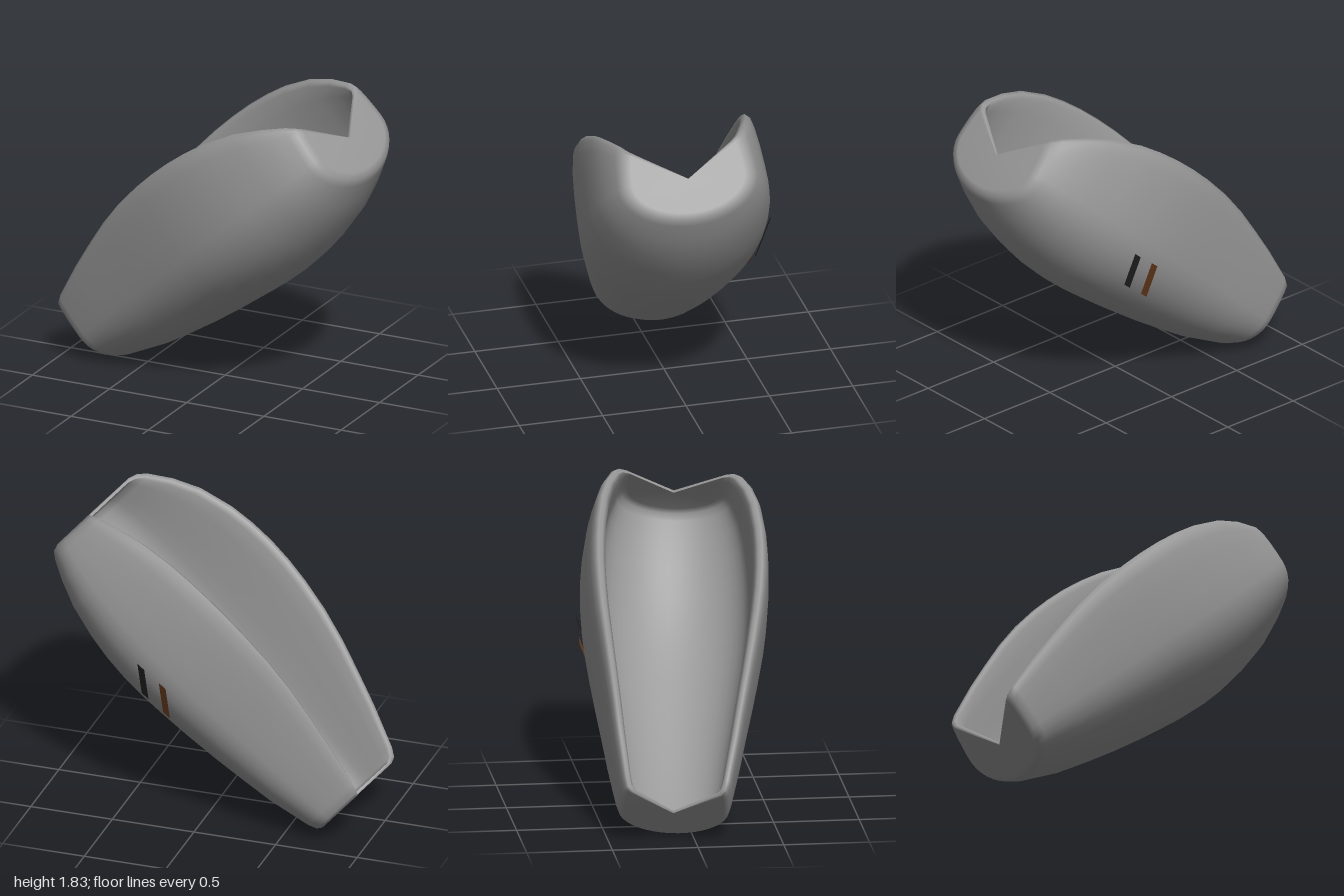
import * as THREE from 'three';

// Frame of the shell: along its length, towards the open side, across
const along = new THREE.Vector3(0.75, 0.66, 0.09);
const open = new THREE.Vector3(-0.66, 0.75, 0);
const across = new THREE.Vector3(-0.067, -0.06, 1);
const middle = new THREE.Vector3(0, 0.903, -0.024);

// Stations: position along, half width, depth of the bottom, height of the rim.
// The zero-size ends close the caps, leaving a V notch at each opening.
const stations = [
  [-1.115, 0, 0, 0],
  [-1.117, 0.29, 0.205, 0.212],
  [-1.1, 0.318, 0.233, 0.24],
  [-1.05, 0.334, 0.26, 0.265],
  [-0.8, 0.383, 0.333, 0.345],
  [-0.6, 0.417, 0.37, 0.4],
  [-0.4, 0.453, 0.402, 0.45],
  [-0.2, 0.487, 0.427, 0.485],
  [0, 0.517, 0.447, 0.503],
  [0.15, 0.533, 0.459, 0.508],
  [0.3, 0.542, 0.463, 0.505],
  [0.45, 0.542, 0.455, 0.492],
  [0.6, 0.533, 0.434, 0.468],
  [0.8, 0.506, 0.388, 0.411],
  [0.95, 0.466, 0.328, 0.338],
  [1.07, 0.412, 0.27, 0.262],
  [1.11, 0.38, 0.245, 0.222],
  [1.124, 0.33, 0.205, 0.188],
  [1.124, 0, 0, 0],
];

const INNER = 0.8; // inner wall size relative to the outer wall
const INNER_LENGTH = 0.985;

// Half of a U wall, from the rim down to just before the bottom
function halfWall(rim, size) {
  const half = rim.slice();
  for (let k = 0; k < 10; k++) {
    const a = (k / 10) * Math.PI / 2;
    half.push([size * Math.cos(a), -size * Math.sin(a)]);
  }
  return half;
}

// Full U wall with its mirrored half
function fullWall(rim, size, length) {
  const half = halfWall(rim, size);
  const mirrored = half.map(([z, n]) => [-z, n]).reverse();
  return [...half, [0, -size], ...mirrored].map(([z, n]) => [z, n, length]);
}

// Closed unit section: outer wall, rounded rim, inner wall back again
function unitSection() {
  const outer = fullWall(
    [[0.875, 1], [0.92, 0.95], [0.95, 0.8], [0.975, 0.55], [0.993, 0.25]], 1, 1);
  const inner = fullWall(
    [[0.83, 0.985], [0.795, 0.92], [0.79, 0.7], [0.795, 0.4], [0.8, 0.2]], INNER, INNER_LENGTH);
  return [...outer, ...inner.reverse()];
}

function shellGeometry() {
  const section = unitSection();
  const cols = section.length;
  const positions = [];
  const index = [];
  for (const [s, width, depth, rim] of stations) {
    for (const [z, n, length] of section) {
      const p = middle.clone()
        .addScaledVector(along, s * length)
        .addScaledVector(open, n * (n < 0 ? depth : rim))
        .addScaledVector(across, z * width);
      positions.push(p.x, p.y, p.z);
    }
  }
  for (let i = 0; i < stations.length - 1; i++) {
    for (let j = 0; j < cols; j++) {
      const a = i * cols + j;
      const b = i * cols + (j + 1) % cols;
      index.push(a, b, a + cols, b, b + cols, a + cols);
    }
  }
  const geometry = new THREE.BufferGeometry();
  geometry.setAttribute('position', new THREE.Float32BufferAttribute(positions, 3));
  geometry.setIndex(index);
  geometry.computeVertexNormals();
  return geometry;
}

// Thin slanted plate on the back wall, facing outwards
function stripe(name, corner, material) {
  const top = new THREE.Vector3(...corner);
  const side = new THREE.Vector3(-0.042, -0.035, 0);
  const down = new THREE.Vector3(0.005, -0.235, 0.092);
  const corners = [top, top.clone().add(side), top.clone().add(side).add(down), top.clone().add(down)];
  const geometry = new THREE.BufferGeometry().setFromPoints(corners);
  geometry.setIndex([0, 2, 1, 0, 3, 2]);
  geometry.computeVertexNormals();
  const mesh = new THREE.Mesh(geometry, material);
  mesh.name = name;
  return mesh;
}

function makeMaterial(name, color) {
  const material = new THREE.MeshStandardMaterial({ color, side: THREE.DoubleSide });
  material.name = name;
  return material;
}

export function createModel() {
  const group = new THREE.Group();
  group.name = 'limbGuard';

  const shell = new THREE.Mesh(shellGeometry(), makeMaterial('grey', 0x999999));
  shell.name = 'shell';
  group.add(shell);

  group.add(stripe('blackStripe', [0.327, 1.07, -0.558], makeMaterial('black', 0x222222)));
  group.add(stripe('brownStripe', [0.197, 0.965, -0.555], makeMaterial('brown', 0x6b3d1e)));
  return group;
}
